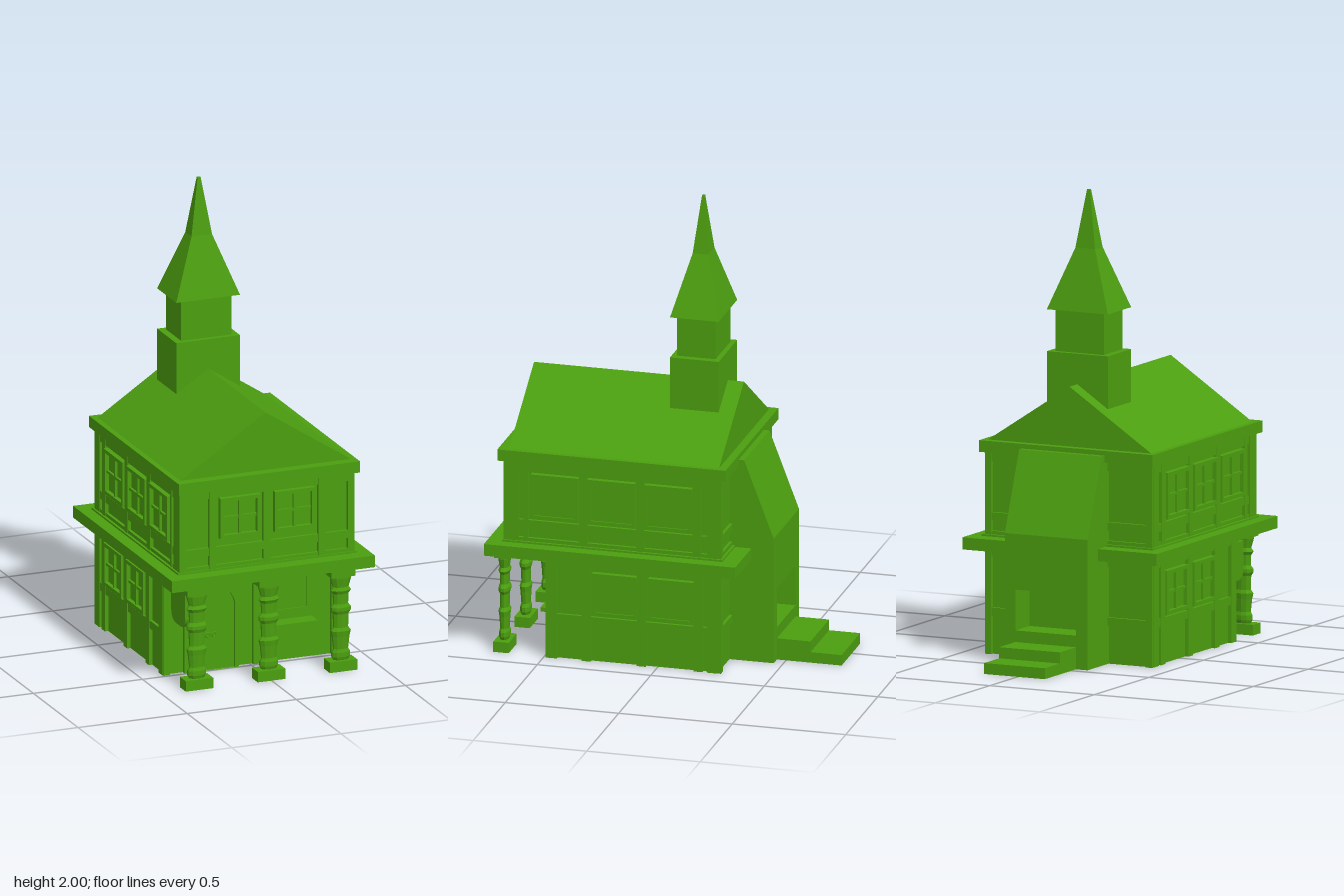
import * as THREE from 'three';

const material = new THREE.MeshStandardMaterial({ color: 0x4c9f10, flatShading: true });

function add(parent, name, geometry, x = 0, y = 0, z = 0) {
  const mesh = new THREE.Mesh(geometry, material);
  mesh.name = name;
  mesh.position.set(x, y, z);
  parent.add(mesh);
  return mesh;
}

// Box given by its limits on each axis
function block(parent, name, x0, x1, y0, y1, z0, z1) {
  return add(parent, name, new THREE.BoxGeometry(x1 - x0, y1 - y0, z1 - z0),
    (x0 + x1) / 2, (y0 + y1) / 2, (z0 + z1) / 2);
}

function polygon(points) {
  return new THREE.Shape(points.map(([x, y]) => new THREE.Vector2(x, y)));
}

function extrude(shape, depth) {
  return new THREE.ExtrudeGeometry(shape, { depth, bevelEnabled: false, curveSegments: 10 });
}

// Extrude a (z, y) profile along x from x0 to x1
function sideExtrude(parent, name, points, x0, x1) {
  const geometry = extrude(polygon(points.map(([z, y]) => [-z, y])), x1 - x0);
  geometry.rotateY(Math.PI / 2);
  return add(parent, name, geometry, x0, 0, 0);
}

// Framed window lying on a wall whose outside is local +z
function framedWindow(parent, u0, u1, y0, y1, muntins) {
  const group = new THREE.Group();
  group.name = 'window';
  parent.add(group);
  const t = 0.016;
  block(group, 'pane', u0, u1, y0, y1, -0.01, muntins ? 0.006 : 0.018);
  for (const [a, b] of [[u0, u0 + t], [u1 - t, u1]]) block(group, 'frameSide', a, b, y0, y1, 0, 0.024);
  for (const [a, b] of [[y0, y0 + t], [y1 - t, y1]]) block(group, 'frameRail', u0 + t, u1 - t, a, b, 0, 0.024);
  if (muntins) {
    const u = (u0 + u1) / 2, y = (y0 + y1) / 2;
    block(group, 'muntin', u - 0.006, u + 0.006, y0 + t, y1 - t, 0, 0.017);
    block(group, 'muntin', u0 + t, u1 - t, y - 0.006, y + 0.006, 0, 0.016);
  }
}

// Timber posts [centre, width] and rails [bottom, top] on a wall
function timbers(parent, posts, rails, u0, u1, y0, y1) {
  for (const [u, w] of posts) block(parent, 'post', u - w / 2, u + w / 2, y0, y1, -0.01, 0.016);
  for (const [a, b] of rails) block(parent, 'rail', u0, u1, a, b, -0.01, 0.013);
}

function wallGroup(parent, name, x, z, turn) {
  const group = new THREE.Group();
  group.name = name;
  group.position.set(x, 0, z);
  group.rotation.y = turn;
  parent.add(group);
  return group;
}

const upperRails = [[0.51, 0.53], [0.575, 0.61], [0.83, 0.87]];
const lowerRails = [[0.165, 0.2], [0.42, 0.455]];

// Pointed, flattened arch outline
function archPath(Path, half, spring, top) {
  const p = new Path();
  p.moveTo(-half, 0);
  p.lineTo(half, 0);
  p.lineTo(half, spring);
  p.quadraticCurveTo(half * 0.9, top - 0.02, 0, top);
  p.quadraticCurveTo(-half * 0.9, top - 0.02, -half, spring);
  p.closePath();
  return p;
}

// Four-sided spire from stacked rectangles [y, halfX, halfZ]
function spireGeometry(rings) {
  const pos = [], idx = [];
  for (const [y, a, b] of rings) pos.push(-a, y, b, a, y, b, a, y, -b, -a, y, -b);
  for (let r = 0; r < rings.length - 1; r++) {
    for (let i = 0; i < 4; i++) {
      const a = r * 4 + i, b = r * 4 + (i + 1) % 4;
      idx.push(a, b, b + 4, a, b + 4, a + 4);
    }
  }
  const n = (rings.length - 1) * 4;
  idx.push(n, n + 1, n + 2, n, n + 2, n + 3, 0, 2, 1, 0, 3, 2);
  const geometry = new THREE.BufferGeometry();
  geometry.setAttribute('position', new THREE.Float32BufferAttribute(pos, 3));
  geometry.setIndex(idx);
  const flat = geometry.toNonIndexed();
  flat.computeVertexNormals();
  return flat;
}

export function createModel() {
  const house = new THREE.Group();
  house.name = 'house';

  // Storeys, ledge and eaves
  block(house, 'groundFloor', -0.386, 0.386, 0, 0.46, -0.265, 0.475);
  block(house, 'upperFloor', -0.386, 0.386, 0.5, 0.88, -0.265, 0.66);
  block(house, 'ledge', -0.465, 0.465, 0.455, 0.507, -0.362, 0.745);
  block(house, 'ledgeMoulding', -0.41, 0.41, 0.505, 0.515, -0.29, 0.68);
  block(house, 'eaves', -0.415, 0.415, 0.87, 0.92, -0.305, 0.7);

  // Gabled roof
  add(house, 'roof', extrude(polygon([[-0.39, 0.92], [0.39, 0.92], [0, 1.177]]), 0.925), 0, 0, -0.27);

  // Side walls: s = 1 is the +x side
  for (const s of [1, -1]) {
    const wall = wallGroup(house, s > 0 ? 'leftWall' : 'rightWall', s * 0.386, 0, s * Math.PI / 2);
    const span = (z0, z1) => (s > 0 ? [-z1, -z0] : [z0, z1]);
    const at = (list) => list.map(([z, w]) => [-s * z, w]);
    timbers(wall, at([[0.64, 0.06], [0.578, 0.02], [0.325, 0.035], [0.075, 0.035], [-0.175, 0.035], [-0.245, 0.05]]),
      upperRails, ...span(-0.265, 0.66), 0.515, 0.87);
    timbers(wall, at([[0.462, 0.04], [0.312, 0.04], [0.07, 0.04], [-0.18, 0.04], [-0.245, 0.05]]),
      lowerRails, ...span(-0.265, 0.475), 0, 0.455);
    for (const z of [0.45, 0.2, -0.05]) framedWindow(wall, ...span(z - 0.105, z + 0.105), 0.62, 0.82, s < 0);
    for (const z of [0.187, -0.062]) framedWindow(wall, ...span(z - 0.1, z + 0.1), 0.21, 0.4, s < 0);
  }

  // Upper front wall
  const front = wallGroup(house, 'upperFrontWall', 0, 0.66, 0);
  timbers(front, [[-0.385, 0.03], [-0.25, 0.032], [0, 0.034], [0.25, 0.032], [0.385, 0.03]],
    upperRails, -0.386, 0.386, 0.515, 0.87);
  for (const x of [-0.125, 0.125]) framedWindow(front, x - 0.092, x + 0.092, 0.645, 0.825, true);

  // Back wall timbers
  const back = wallGroup(house, 'backWall', 0, -0.265, Math.PI);
  timbers(back, [[-0.385, 0.03], [0.385, 0.03]], upperRails, -0.386, 0.386, 0.515, 0.87);
  timbers(back, [[-0.385, 0.03], [0.385, 0.03]], lowerRails, -0.386, 0.386, 0, 0.455);

  // Ground floor front: arched door, window and shelf
  const shop = wallGroup(house, 'lowerFrontWall', 0, 0.475, 0);
  timbers(shop, [[-0.385, 0.03], [0.03, 0.035], [0.385, 0.03]], [[0.425, 0.455]], -0.386, 0.386, 0, 0.455);
  const surround = archPath(THREE.Shape, 0.125, 0.29, 0.405);
  surround.holes.push(archPath(THREE.Path, 0.107, 0.285, 0.38));
  add(shop, 'doorSurround', extrude(surround, 0.03), -0.18, 0, -0.01);
  add(shop, 'door', extrude(archPath(THREE.Shape, 0.108, 0.286, 0.381), 0.016), -0.18, 0, -0.01);
  for (const s of [-1, 1]) add(shop, 'doorHandle', new THREE.TorusGeometry(0.01, 0.003, 5, 10), -0.18 + s * 0.015, 0.155, 0.011);
  framedWindow(shop, 0.06, 0.27, 0.215, 0.42, false);
  block(shop, 'shelf', 0.05, 0.285, 0.162, 0.18, -0.01, 0.072);

  // Hanging board with rounded lower corners
  const board = new THREE.Shape();
  board.moveTo(-0.635, 0.41);
  board.lineTo(-0.635, 0.29);
  board.quadraticCurveTo(-0.63, 0.245, -0.58, 0.245);
  board.lineTo(-0.535, 0.245);
  board.quadraticCurveTo(-0.485, 0.245, -0.48, 0.29);
  board.lineTo(-0.48, 0.41);
  board.closePath();
  add(house, 'hangingBoard', extrude(board, 0.02).rotateY(Math.PI / 2), -0.36, 0, 0);
  for (const z of [0.52, 0.6]) block(house, 'boardHanger', -0.354, -0.346, 0.4, 0.46, z - 0.004, z + 0.004);

  // Carved porch columns
  const profile = [[0.034, 0.045], [0.042, 0.06], [0.042, 0.08], [0.034, 0.095], [0.04, 0.15], [0.046, 0.175],
    [0.034, 0.19], [0.036, 0.25], [0.046, 0.265], [0.046, 0.28], [0.034, 0.295], [0.036, 0.34], [0.047, 0.355],
    [0.036, 0.37], [0.048, 0.41], [0.048, 0.425]].map(([r, y]) => new THREE.Vector2(r, y));
  for (const x of [-0.33, 0, 0.33]) {
    const column = wallGroup(house, 'column', x, 0.69, 0);
    block(column, 'columnBase', -0.063, 0.063, 0, 0.046, -0.034, 0.034);
    add(column, 'columnShaft', new THREE.LatheGeometry(profile, 10)).scale.z = 0.56;
    block(column, 'columnCapital', -0.055, 0.055, 0.42, 0.457, -0.032, 0.032);
  }

  // Back porch with sloped top and recessed doorway
  const slope = [[-0.46, 0.56], [-0.33, 0.9], [-0.25, 0.9], [-0.25, 0]];
  sideExtrude(house, 'porchJamb', [[-0.46, 0], ...slope], -0.185, -0.13);
  sideExtrude(house, 'porchJamb', [[-0.46, 0], ...slope], 0.16, 0.21);
  sideExtrude(house, 'porchDoorway',
    [[-0.46, 0], [-0.46, 0.145], [-0.33, 0.145], [-0.33, 0.32], [-0.46, 0.32], ...slope], -0.13, 0.16);
  block(house, 'upperStep', -0.13, 0.16, 0, 0.095, -0.608, -0.455);
  block(house, 'lowerStep', -0.13, 0.16, 0, 0.047, -0.745, -0.6);

  // Tower and spire
  const tower = wallGroup(house, 'tower', 0, -0.092, 0);
  block(tower, 'towerBase', -0.146, 0.146, 0.93, 1.308, -0.107, 0.107);
  block(tower, 'belfry', -0.115, 0.115, 1.3, 1.495, -0.085, 0.085);
  add(tower, 'spire', spireGeometry([[1.488, 0.146, 0.107], [1.75, 0.047, 0.035], [2, 0.007, 0.005]]));

  return house;
}
